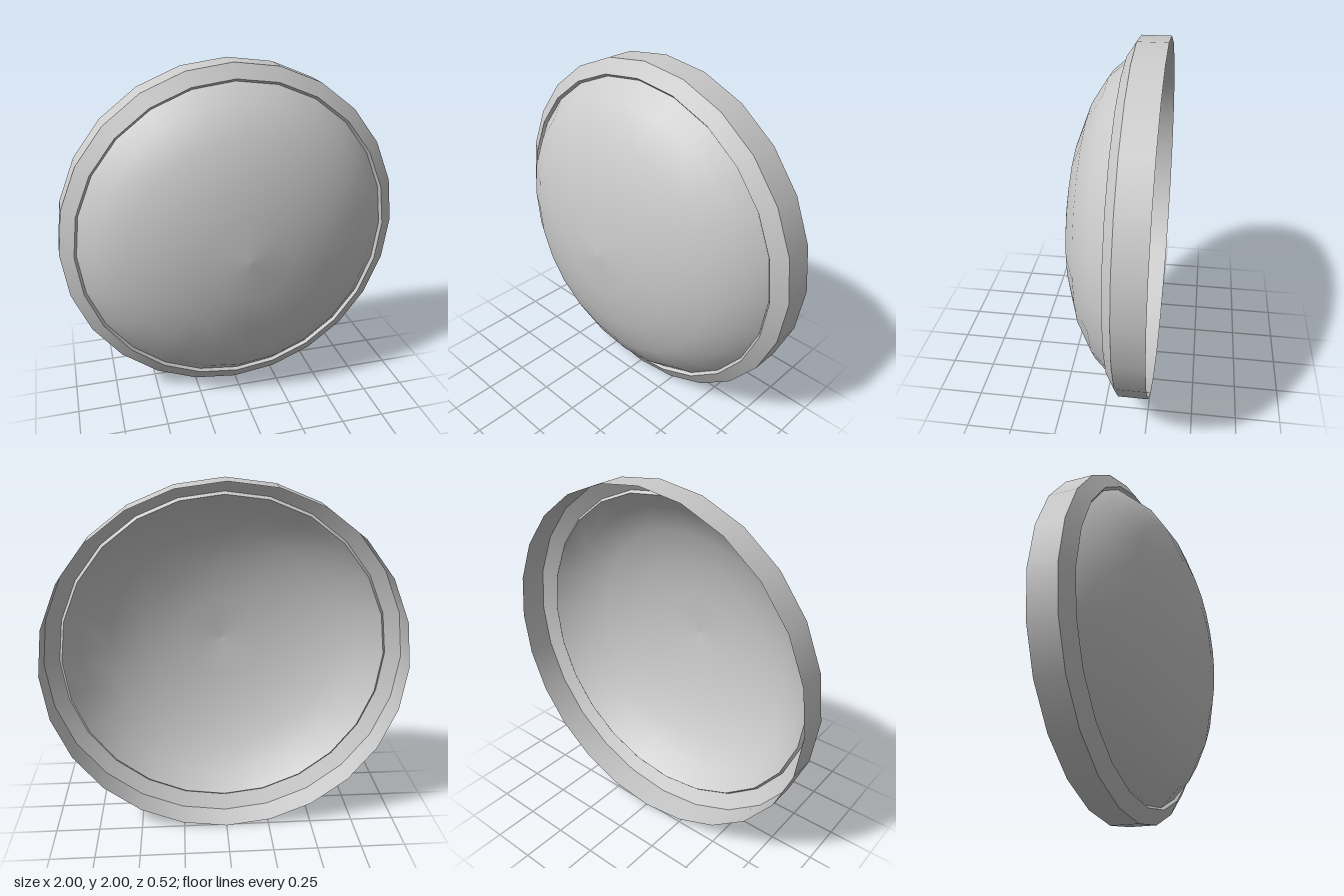
import * as THREE from 'three';

const SIDES = 24;

export function createModel() {
  const model = new THREE.Group();
  model.name = 'domedDisc';
  const material = new THREE.MeshStandardMaterial({ color: 0xcccccc, side: THREE.DoubleSide });

  // Spins a [radius, z] profile (back to front) around the z axis
  const spin = (name, profile, parent) => {
    const points = profile.map(([r, z]) => new THREE.Vector2(r, z));
    const geometry = new THREE.LatheGeometry(points, SIDES);
    geometry.rotateX(Math.PI / 2);
    const mesh = new THREE.Mesh(geometry, material);
    mesh.name = name;
    parent.add(mesh);
  };

  // Open-backed rim: separate strips keep the edges between them sharp
  const rim = new THREE.Group();
  rim.name = 'rim';
  spin('rimWall', [[1, -0.262], [1, -0.1]], rim);
  spin('rimBevel', [[1, -0.1], [0.922, -0.05]], rim);
  spin('rimLip', [[0.922, -0.05], [0.908, -0.066]], rim);

  // Shallow elliptical dome, in steps of 15 degrees out to the lip
  const dome = [];
  for (let i = 5; i >= 0; i--) {
    const a = THREE.MathUtils.degToRad(i * 15);
    dome.push([0.94 * Math.sin(a), 0.262 - 0.442 * (1 - Math.cos(a))]);
  }
  spin('dome', dome, model);

  model.add(rim);
  model.position.y = 1;
  const root = new THREE.Group();
  root.name = 'cover';
  root.add(model);
  return root;
}
